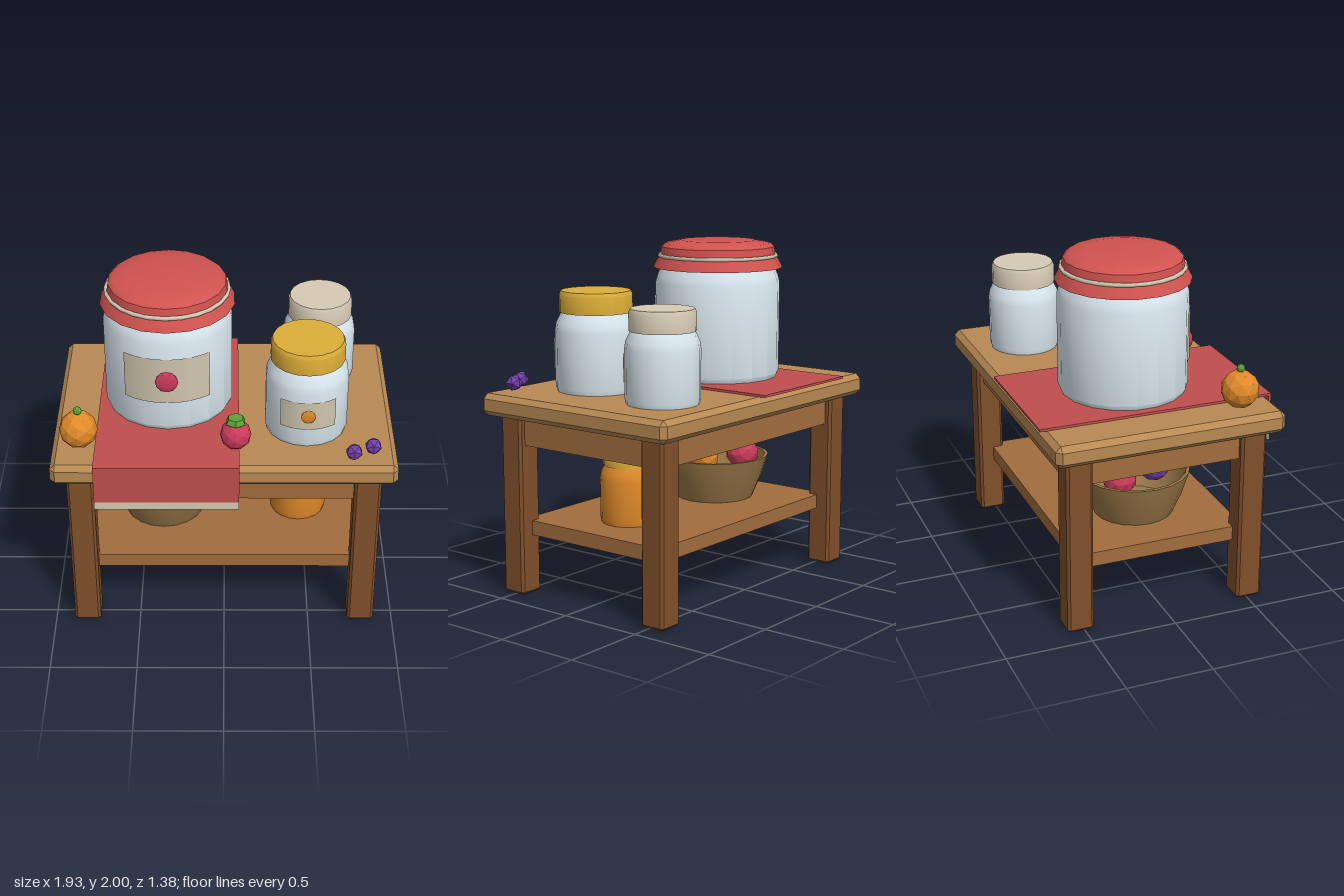
import * as THREE from 'three';
import { toCreasedNormals } from 'three/addons/utils/BufferGeometryUtils.js';
import { ConvexGeometry } from 'three/addons/geometries/ConvexGeometry.js';

const C = {
  top: 0xb88a54, leg: 0x80502b, rail: 0xa26d3e, glass: 0xdceaf2, red: 0xd15350, cloth: 0xbf4f4d,
  yellow: 0xdcae38, cream: 0xd6cab4, label: 0xcfc4ae, orange: 0xe08a2a, berry: 0xcc3b5c,
  purple: 0x7440a8, green: 0x5fa038, bowl: 0x9c7a4a,
};

function mesh(name, geometry, color, x = 0, y = 0, z = 0, extra = {}) {
  const m = new THREE.Mesh(geometry, new THREE.MeshStandardMaterial({ color, ...extra }));
  m.name = name;
  m.position.set(x, y, z);
  return m;
}

// Box with every edge cut at 45 degrees
function chamferBox(w, h, d, c) {
  const pts = [];
  for (const sx of [-1, 1]) for (const sy of [-1, 1]) for (const sz of [-1, 1])
    for (let k = 0; k < 3; k++)
      pts.push(new THREE.Vector3(
        sx * (w / 2 - (k === 0 ? 0 : c)), sy * (h / 2 - (k === 1 ? 0 : c)), sz * (d / 2 - (k === 2 ? 0 : c))));
  return new ConvexGeometry(pts);
}

// Turned shape from [radius, height] pairs, bottom to top
function turned(profile, sides = 18) {
  return toCreasedNormals(new THREE.LatheGeometry(profile.map(p => new THREE.Vector2(...p)), sides), 0.55);
}

// Faceted round fruit
function fruit(name, r, color, x, y, z, detail = 1) {
  return mesh(name, new THREE.IcosahedronGeometry(r, detail), color, x, y, z, { flatShading: true });
}

// Jar with a stepped shoulder, heights measured from its base
function jarBody(r, h, neck, shoulder, color) {
  return mesh('jarBody', turned([
    [0, 0], [r * 0.96, 0], [r, 0.03], [r, h - shoulder],
    [r * 0.97, h - shoulder * 0.6], [neck, h], [0, h]]), color);
}

function flatLid(r, y, h, color) {
  return mesh('jarLid', turned([
    [0, 0], [r, 0], [r, h * 0.82], [r * 0.95, h], [0, h]]), color, 0, y);
}

// Curved paper label with a flattened fruit emblem
function addLabel(jar, r, y, h, emblemR, color) {
  const paper = new THREE.CylinderGeometry(r, r, h, 8, 1, true, -0.69, 1.38);
  jar.add(mesh('label', paper, C.label, 0, y, 0, { side: THREE.DoubleSide }));
  const emblem = fruit('labelFruit', emblemR, color, 0, y, r + 0.005);
  emblem.scale.z = 0.25;
  jar.add(emblem);
}

function group(name, x, y, z, ...children) {
  const g = new THREE.Group();
  g.name = name;
  g.position.set(x, y, z);
  if (children.length) g.add(...children);
  return g;
}

export function createModel() {
  const model = group('preserveTable', 0, 0, 0);

  // Table
  const table = group('table', 0, 0, -0.005);
  table.add(mesh('tableTop', chamferBox(1.935, 0.128, 1.345, 0.03), C.top, 0, 1.112, 0));
  table.add(mesh('apron', new THREE.BoxGeometry(1.7, 0.17, 1.11), C.rail, 0, 0.967, 0));
  table.add(mesh('shelf', new THREE.BoxGeometry(1.6, 0.085, 1.01), C.rail, 0, 0.388, 0));
  for (const sx of [-1, 1]) for (const sz of [-1, 1])
    table.add(mesh('leg', chamferBox(0.153, 1.055, 0.153, 0.015), C.leg, sx * 0.81, 0.5275, sz * 0.517));
  model.add(table);

  // Runner cloth with a drop over the front edge
  const runner = group('runner', -0.32, 0, 0);
  runner.add(mesh('clothTop', new THREE.BoxGeometry(0.81, 0.014, 1.375), C.cloth, 0, 1.183, -0.002));
  runner.add(mesh('clothDrop', new THREE.BoxGeometry(0.81, 0.235, 0.014), C.cloth, 0, 1.0725, 0.679));
  runner.add(mesh('clothHem', new THREE.BoxGeometry(0.81, 0.05, 0.014), C.cream, 0, 0.93, 0.679));
  model.add(runner);

  // Large jar with a cloth-covered lid tied by a cord
  const big = group('largeJar', -0.32, 1.188, -0.05, jarBody(0.37, 0.665, 0.335, 0.1, C.glass));
  big.add(mesh('lidSkirt', turned([[0.33, 0.65], [0.385, 0.652], [0.35, 0.72], [0.33, 0.72]]),
    C.red, 0, 0, 0, { side: THREE.DoubleSide }));
  const cord = mesh('cord', new THREE.TorusGeometry(0.347, 0.012, 6, 24), C.cream, 0, 0.723, 0);
  cord.rotation.x = Math.PI / 2;
  big.add(cord);
  big.add(mesh('lidCap', turned([
    [0, 0.7], [0.345, 0.72], [0.335, 0.775], [0.312, 0.795], [0.22, 0.812], [0, 0.812]]), C.red));
  addLabel(big, 0.376, 0.335, 0.285, 0.066, C.berry);
  model.add(big);

  // Two smaller jars on the table
  const front = group('frontJar', 0.467, 1.174, 0.225,
    jarBody(0.235, 0.46, 0.195, 0.11, C.glass), flatLid(0.21, 0.455, 0.122, C.yellow));
  addLabel(front, 0.241, 0.21, 0.175, 0.042, C.orange);
  const rear = group('rearJar', 0.562, 1.174, -0.342,
    jarBody(0.21, 0.41, 0.175, 0.1, C.glass), flatLid(0.187, 0.405, 0.122, C.cream));
  addLabel(rear, 0.216, 0.195, 0.16, 0.038, C.purple);
  model.add(front, rear);

  // Filled jar on the shelf
  model.add(group('shelfJar', 0.446, 0.43, 0,
    jarBody(0.168, 0.34, 0.14, 0.08, C.orange), flatLid(0.15, 0.335, 0.075, C.yellow)));

  // Fruit bowl on the shelf
  const bowl = group('fruitBowl', -0.362, 0.43, 0);
  bowl.add(mesh('bowl', turned([
    [0, 0], [0.235, 0], [0.29, 0.13], [0.33, 0.26], [0.31, 0.26], [0.27, 0.13], [0.22, 0.03], [0, 0.03]], 20),
    C.bowl, 0, 0, 0, { side: THREE.DoubleSide }));
  bowl.add(
    fruit('bowlBerry', 0.1, C.berry, -0.11, 0.26, -0.13),
    fruit('bowlPlum', 0.1, C.purple, 0, 0.26, 0.13),
    fruit('bowlOrange', 0.1, C.orange, 0.12, 0.26, 0));
  model.add(bowl);

  // Loose fruit on the table
  model.add(group('orange', -0.813, 1.288, 0.447,
    fruit('orangeFruit', 0.109, C.orange, 0, 0, 0),
    fruit('orangeStem', 0.024, C.green, 0, 0.122, 0)));
  model.add(group('redFruit', 0.065, 1.267, 0.465,
    fruit('redFruitBody', 0.088, C.berry, 0, 0, 0),
    mesh('leafCap', new THREE.CylinderGeometry(0.045, 0.06, 0.03, 6), C.green, 0, 0.095, 0, { flatShading: true })));
  for (const [x, z] of [[0.72, 0.587], [0.83, 0.53]])
    model.add(fruit('smallPlum', 0.05, C.purple, x, 1.232, z, 0));

  return model;
}
